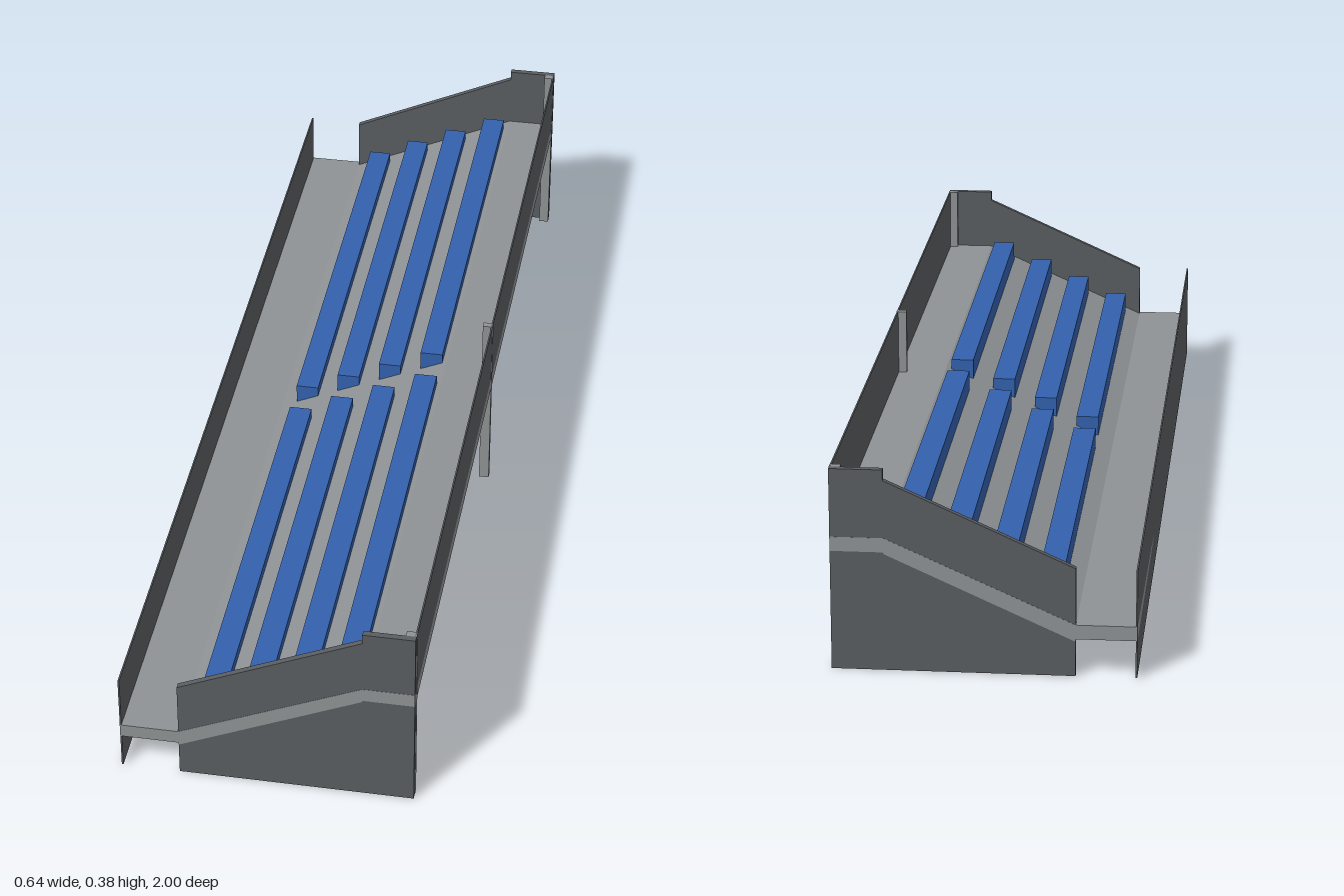
import * as THREE from 'three';

const HALF_W = 0.2755, HALF_L = 0.988;

function material(name, color) {
  const m = new THREE.MeshStandardMaterial({ color });
  m.name = name;
  return m;
}

export function createModel() {
  const wallGrey = material('wall grey', 0x595d61);
  const concrete = material('concrete grey', 0x8e9294);
  const seatBlue = material('seat blue', 0x3360ad);

  const stand = new THREE.Group();
  stand.name = 'grandstand';

  const box = (name, mat, x0, x1, y0, y1, z0, z1) => {
    const mesh = new THREE.Mesh(new THREE.BoxGeometry(x1 - x0, y1 - y0, z1 - z0), mat);
    mesh.position.set((x0 + x1) / 2, (y0 + y1) / 2, (z0 + z1) / 2);
    mesh.name = name;
    stand.add(mesh);
  };
  const extrude = (name, mat, points, z0, z1) => {
    const shape = new THREE.Shape(points.map(([x, y]) => new THREE.Vector2(x, y)));
    const geometry = new THREE.ExtrudeGeometry(shape, { depth: z1 - z0, bevelEnabled: false });
    const mesh = new THREE.Mesh(geometry, mat);
    mesh.position.z = z0;
    mesh.name = name;
    stand.add(mesh);
  };

  // Sloping deck with a flat walkway at the front and the back
  extrude('deck', concrete, [
    [-HALF_W, 0.071], [-0.165, 0.071], [-0.165, 0.066], [0.179, 0.222], [0.179, 0.225],
    [HALF_W, 0.225], [HALF_W, 0.252], [0.179, 0.252], [-0.165, 0.098], [-HALF_W, 0.098],
  ], -HALF_L - 0.0004, HALF_L + 0.0004);

  // End walls
  const wallProfile = [
    [-0.165, 0], [HALF_W, 0], [HALF_W, 0.38], [0.179, 0.38], [0.179, 0.36], [-0.165, 0.205],
  ];
  extrude('leftEndWall', wallGrey, wallProfile, HALF_L - 0.012, HALF_L);
  extrude('rightEndWall', wallGrey, wallProfile, -HALF_L, -HALF_L + 0.012);

  // Thin long walls
  box('lowWall', wallGrey, -HALF_W, -HALF_W + 0.003, 0, 0.205, -HALF_L, HALF_L);
  box('highWall', wallGrey, HALF_W - 0.003, HALF_W, 0.252, 0.38, -HALF_L, HALF_L);

  // Bench rows either side of the middle aisle
  for (let row = 0; row < 4; row++) {
    const x = -0.134 + row * 0.086;
    const y = 0.112 + row * 0.0385;
    box('benchRow', seatBlue, x, x + 0.045, y, y + 0.04, 0.037, 0.952);
    box('benchRow', seatBlue, x, x + 0.045, y, y + 0.04, -0.952, -0.037);
  }

  // Tall outer posts and short inner posts under the deck
  for (const z of [-0.9695, 0, 0.9695]) {
    box('outerPost', concrete, 0.256, HALF_W + 0.0004, 0, 0.38, z - 0.0065, z + 0.0065);
    box('innerPost', concrete, 0.092, 0.108, 0, 0.19, z - 0.0065, z + 0.0065);
  }

  stand.rotation.y = 0.0433;
  const model = new THREE.Group();
  model.add(stand);
  return model;
}
